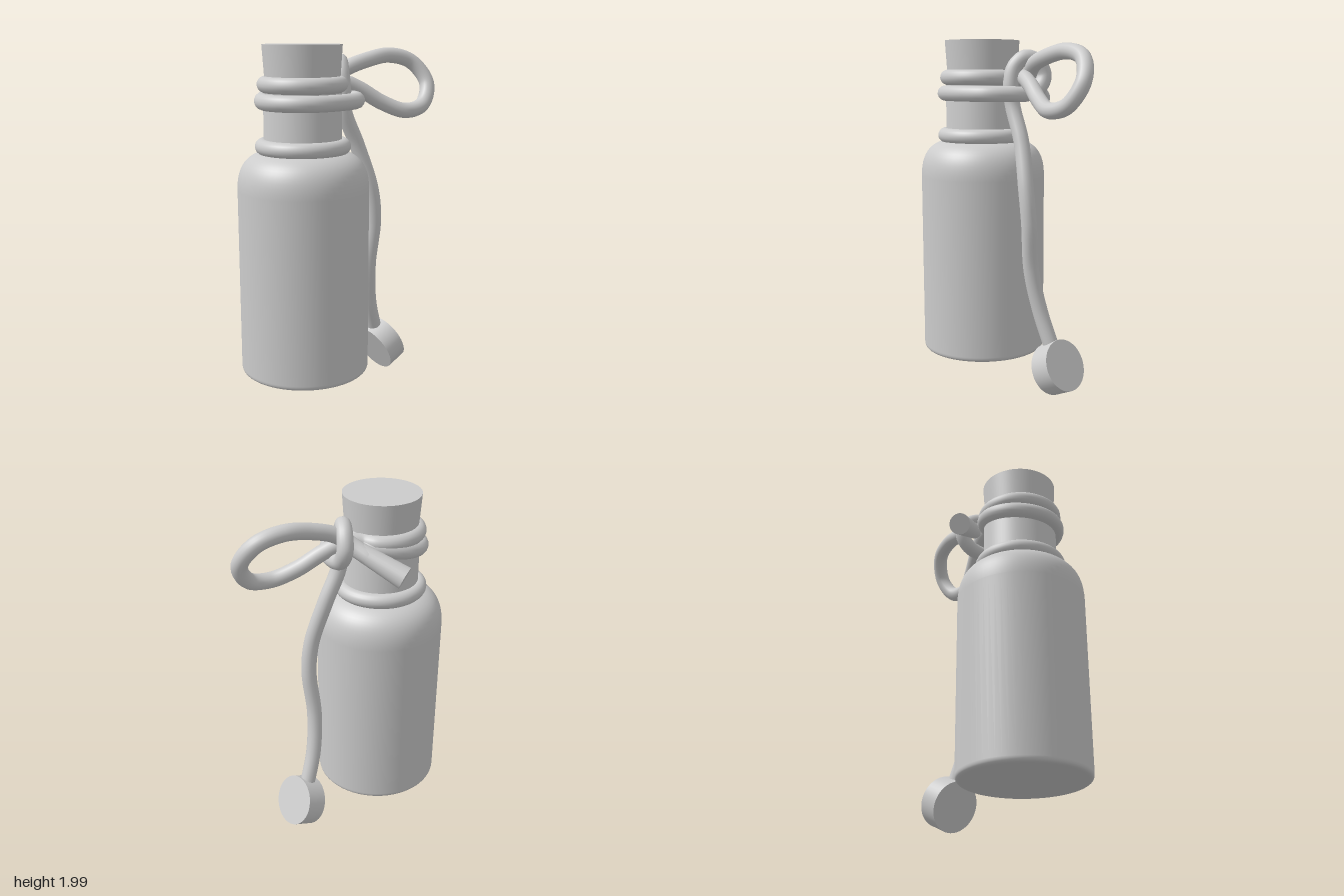
import * as THREE from 'three';

const CX = -0.262, CZ = 0.01; // bottle axis
const CORD = 0.044;

export function createModel() {
  const model = new THREE.Group();
  const material = new THREE.MeshStandardMaterial({ color: 0xcccccc });
  const add = (name, geometry, x = 0, y = 0, z = 0) => {
    const mesh = new THREE.Mesh(geometry, material);
    mesh.name = name;
    mesh.position.set(x, y, z);
    model.add(mesh);
    return mesh;
  };

  // Bottle: flat base with a small radius, straight wall, rounded shoulder, neck
  const outline = new THREE.Path();
  outline.moveTo(0, 0.175);
  outline.lineTo(0.335, 0.175);
  outline.quadraticCurveTo(0.362, 0.175, 0.362, 0.205);
  outline.lineTo(0.362, 1.22);
  outline.bezierCurveTo(0.362, 1.35, 0.31, 1.41, 0.213, 1.43);
  outline.lineTo(0.213, 1.75);
  outline.lineTo(0.19, 1.75);
  add('bottle', new THREE.LatheGeometry(outline.getPoints(12), 64), CX, 0, CZ);

  // Rounded collar at the foot of the neck
  const collar = new THREE.TorusGeometry(0.219, 0.043, 20, 64).rotateX(Math.PI / 2);
  add('neckCollar', collar, CX, 1.457, CZ);

  // Tapered stopper
  add('stopper', new THREE.CylinderGeometry(0.216, 0.198, 0.27, 64), CX, 1.865, CZ);

  // Cord: free end, bow loop, two turns round the neck, knot, hanging strand
  const path = [
    [-0.02, 1.755, -0.18], [0.03, 1.81, -0.09], [0.09, 1.86, -0.05],
    [0.22, 1.905, -0.02], [0.38, 1.93, 0.0], [0.52, 1.89, 0.04],
    [0.58, 1.77, 0.11], [0.51, 1.65, 0.148], [0.38, 1.62, 0.14],
    [0.25, 1.67, 0.08], [0.13, 1.75, 0.02], [0.04, 1.79, -0.02],
  ];
  const steps = 16; // per turn
  for (let i = 1; i <= steps * 1.75; i++) {
    const a = (i / steps) * Math.PI * 2;
    const drop = THREE.MathUtils.smoothstep(i / steps, 0.95, 1.45);
    const r = 0.202 + 0.016 * drop;
    path.push([CX + r * Math.cos(a), 1.79 - 0.09 * drop, CZ - r * Math.sin(a)]);
  }
  path.push(
    [-0.16, 1.7, 0.225], [-0.04, 1.7, 0.19], [0.045, 1.7, 0.09],
    [0.075, 1.7, 0.0], [0.09, 1.73, -0.09], [0.095, 1.8, -0.13],
    [0.075, 1.875, -0.1], [0.04, 1.902, -0.04], [0.005, 1.85, 0.015],
    [-0.002, 1.75, 0.04], [0.01, 1.63, 0.035], [0.09, 1.44, 0.05],
    [0.165, 1.18, 0.09], [0.188, 0.99, 0.09], [0.178, 0.72, 0.06],
    [0.215, 0.48, 0.025], [0.285, 0.27, 0.0],
  );
  const curve = new THREE.CatmullRomCurve3(path.map((p) => new THREE.Vector3(...p)));
  add('cord', new THREE.TubeGeometry(curve, 500, CORD, 16, false));

  // Flared tip of the cord's free end
  const from = new THREE.Vector3(0.02, 1.795, -0.1);
  const to = new THREE.Vector3(-0.13, 1.665, -0.345);
  const direction = to.clone().sub(from);
  const tip = add('cordTip', new THREE.CylinderGeometry(0.062, CORD, direction.length(), 24));
  tip.position.copy(from).lerp(to, 0.5);
  tip.quaternion.setFromUnitVectors(new THREE.Vector3(0, 1, 0), direction.normalize());

  // Round tag at the end of the hanging strand
  const tag = add('tag', new THREE.CylinderGeometry(0.147, 0.147, 0.122, 48), 0.332, 0.167, 0);
  tag.rotation.z = -THREE.MathUtils.degToRad(65);

  return model;
}
